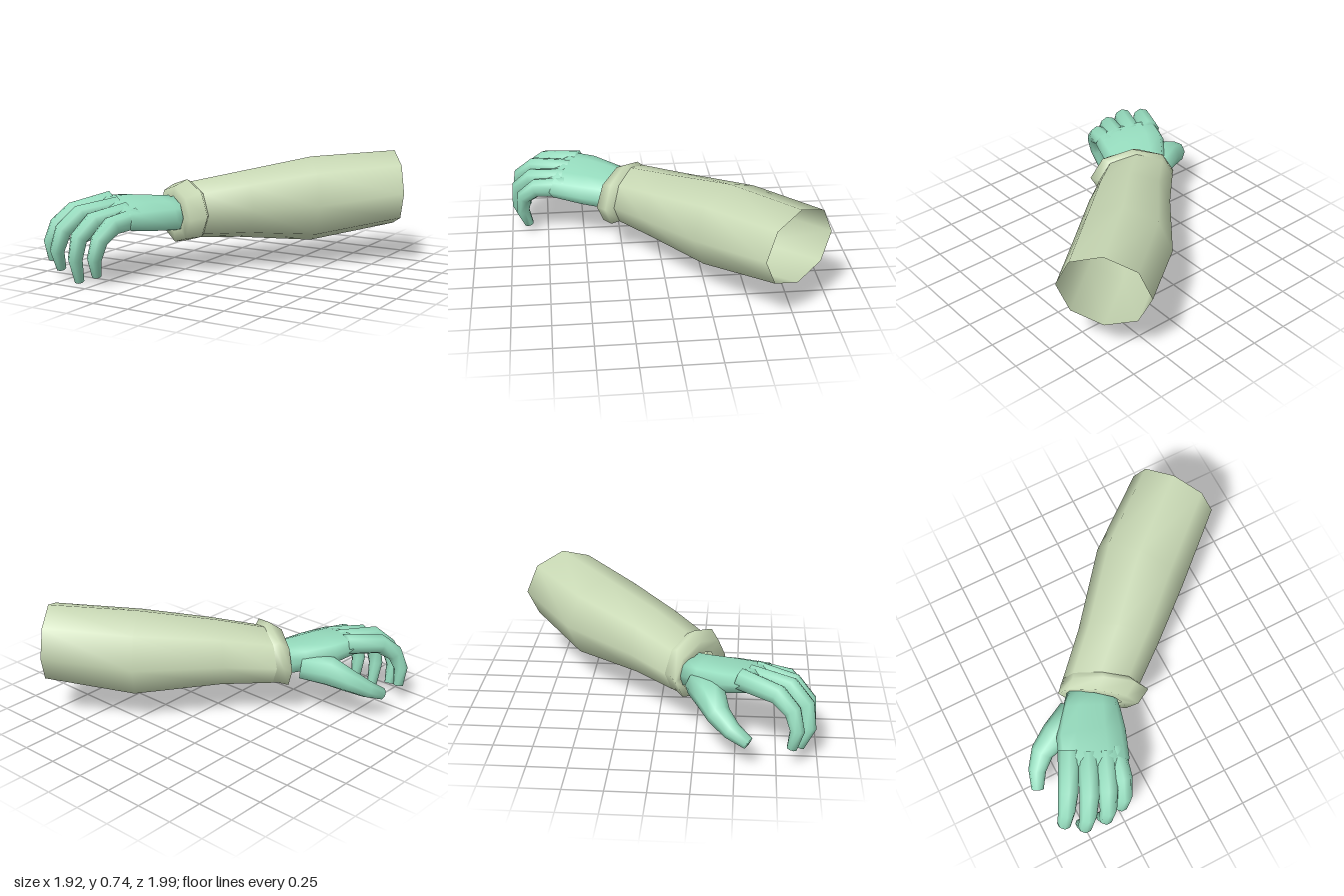
import * as THREE from 'three';

const V = (a) => new THREE.Vector3(...a);

// Skin a list of equal-length rings, optionally closing the two ends
function loft(rings, capStart = false, capEnd = false) {
  const n = rings[0].length, pos = [], index = [];
  rings.forEach((r) => r.forEach((p) => pos.push(p.x, p.y, p.z)));
  for (let i = 0; i < rings.length - 1; i++) {
    for (let j = 0; j < n; j++) {
      const a = i * n + j, b = i * n + (j + 1) % n;
      index.push(a, b, b + n, a, b + n, a + n);
    }
  }
  const last = (rings.length - 1) * n;
  for (let j = 1; j < n - 1; j++) {
    if (capStart) index.push(0, j + 1, j);
    if (capEnd) index.push(last, last + j, last + j + 1);
  }
  const g = new THREE.BufferGeometry();
  g.setAttribute('position', new THREE.Float32BufferAttribute(pos, 3));
  g.setIndex(index);
  g.computeVertexNormals();
  return g;
}

// Ring around a centre, spanned by two half-axes; power < 1 makes it boxier
function ring(c, u, v, sides, power = 1) {
  const soft = (t) => Math.sign(t) * Math.abs(t) ** power;
  return Array.from({ length: sides }, (_, k) => {
    const a = (k / sides) * Math.PI * 2;
    return c.clone().addScaledVector(u, soft(Math.cos(a))).addScaledVector(v, soft(Math.sin(a)));
  });
}

// Cross-section between two side points with a half thickness
function section(left, right, half, sides, power) {
  const l = V(left), r = V(right);
  return ring(l.clone().add(r).multiplyScalar(0.5), r.sub(l).multiplyScalar(0.5),
    new THREE.Vector3(0, half, 0), sides, power);
}

// Sleeve section from side points [x, z] and its bottom and top heights
function sleeveRing([lx, lz, rx, rz, low, high]) {
  const y = (low + high) / 2;
  return section([lx, y, lz], [rx, y, rz], (high - low) / 2, 8);
}

// Tapered digit along a few joints
function digit(points, radii, across) {
  const p = points.map(V);
  const rings = p.map((c, i) => {
    const t = p[Math.min(i + 1, p.length - 1)].clone().sub(p[Math.max(i - 1, 0)]).normalize();
    const u = across.clone().addScaledVector(t, -across.dot(t)).normalize();
    const v = t.clone().cross(u);
    return ring(c, u.multiplyScalar(radii[i]), v.multiplyScalar(radii[i]), 8);
  });
  return loft(rings, true, true);
}

export function createModel() {
  const model = new THREE.Group();
  const cloth = new THREE.MeshStandardMaterial({ color: 0xc8d8b4, side: THREE.DoubleSide });
  cloth.name = 'pale sage cloth';
  const skin = new THREE.MeshStandardMaterial({ color: 0x96dcbe, side: THREE.DoubleSide });
  skin.name = 'mint skin';
  const add = (name, geometry, material, parent = model) => {
    const m = new THREE.Mesh(geometry, material);
    m.name = name;
    parent.add(m);
  };

  // Sleeve, open at the elbow
  add('sleeve', loft([
    [0.61, -1.0, 0.96, -0.53, 0.24, 0.74],
    [0.15, -0.65, 0.53, -0.15, 0.14, 0.71],
    [-0.22, -0.2, 0.2, 0.13, 0.19, 0.63],
    [-0.46, 0.05, -0.03, 0.31, 0.2, 0.575],
  ].map(sleeveRing)), cloth);

  // Flared cuff and the lip that turns in towards the wrist
  add('cuff', loft([
    [-0.46, 0.05, -0.03, 0.31, 0.2, 0.575],
    [-0.49, 0.08, 0.0, 0.37, 0.19, 0.595],
    [-0.53, 0.12, -0.1, 0.42, 0.18, 0.55],
    [-0.48, 0.15, -0.19, 0.36, 0.25, 0.48],
  ].map(sleeveRing)), cloth);

  // Palm from wrist to knuckles, tilted down on the little finger side
  const hand = new THREE.Group();
  hand.name = 'hand';
  model.add(hand);
  add('palm', loft([
    section([-0.45, 0.38, 0.11], [-0.2, 0.35, 0.3], 0.1, 10, 0.75),
    section([-0.56, 0.4, 0.24], [-0.215, 0.35, 0.39], 0.1, 10, 0.75),
    section([-0.68, 0.43, 0.4], [-0.25, 0.36, 0.53], 0.095, 10, 0.75),
    section([-0.73, 0.45, 0.54], [-0.32, 0.375, 0.72], 0.08, 10, 0.75),
    section([-0.71, 0.44, 0.6], [-0.37, 0.375, 0.77], 0.055, 10, 0.75),
  ], true, true), skin, hand);

  // Four curled fingers
  const across = new THREE.Vector3(0.92, -0.1, 0.38);
  const fingers = {
    indexFinger: [[-0.65, 0.46, 0.52], [-0.77, 0.42, 0.75], [-0.83, 0.34, 0.84], [-0.865, 0.23, 0.87], [-0.875, 0.115, 0.84]],
    middleFinger: [[-0.55, 0.44, 0.58], [-0.66, 0.42, 0.83], [-0.72, 0.33, 0.925], [-0.755, 0.2, 0.945], [-0.77, 0.075, 0.89]],
    ringFinger: [[-0.45, 0.42, 0.62], [-0.54, 0.39, 0.85], [-0.585, 0.3, 0.94], [-0.61, 0.16, 0.95], [-0.625, 0.01, 0.895]],
    littleFinger: [[-0.38, 0.39, 0.62], [-0.42, 0.37, 0.82], [-0.455, 0.29, 0.905], [-0.485, 0.17, 0.92], [-0.5, 0.055, 0.88]],
  };
  for (const [name, points] of Object.entries(fingers)) {
    add(name, digit(points, [0.07, 0.064, 0.055, 0.047, 0.032], across), skin, hand);
  }

  // Thumb, spread away from the palm
  add('thumb', digit(
    [[-0.5, 0.35, 0.26], [-0.66, 0.33, 0.35], [-0.79, 0.28, 0.4], [-0.87, 0.22, 0.48], [-0.92, 0.165, 0.58]],
    [0.09, 0.1, 0.075, 0.058, 0.04], new THREE.Vector3(0.8, 0, 0.5)), skin, hand);

  return model;
}
